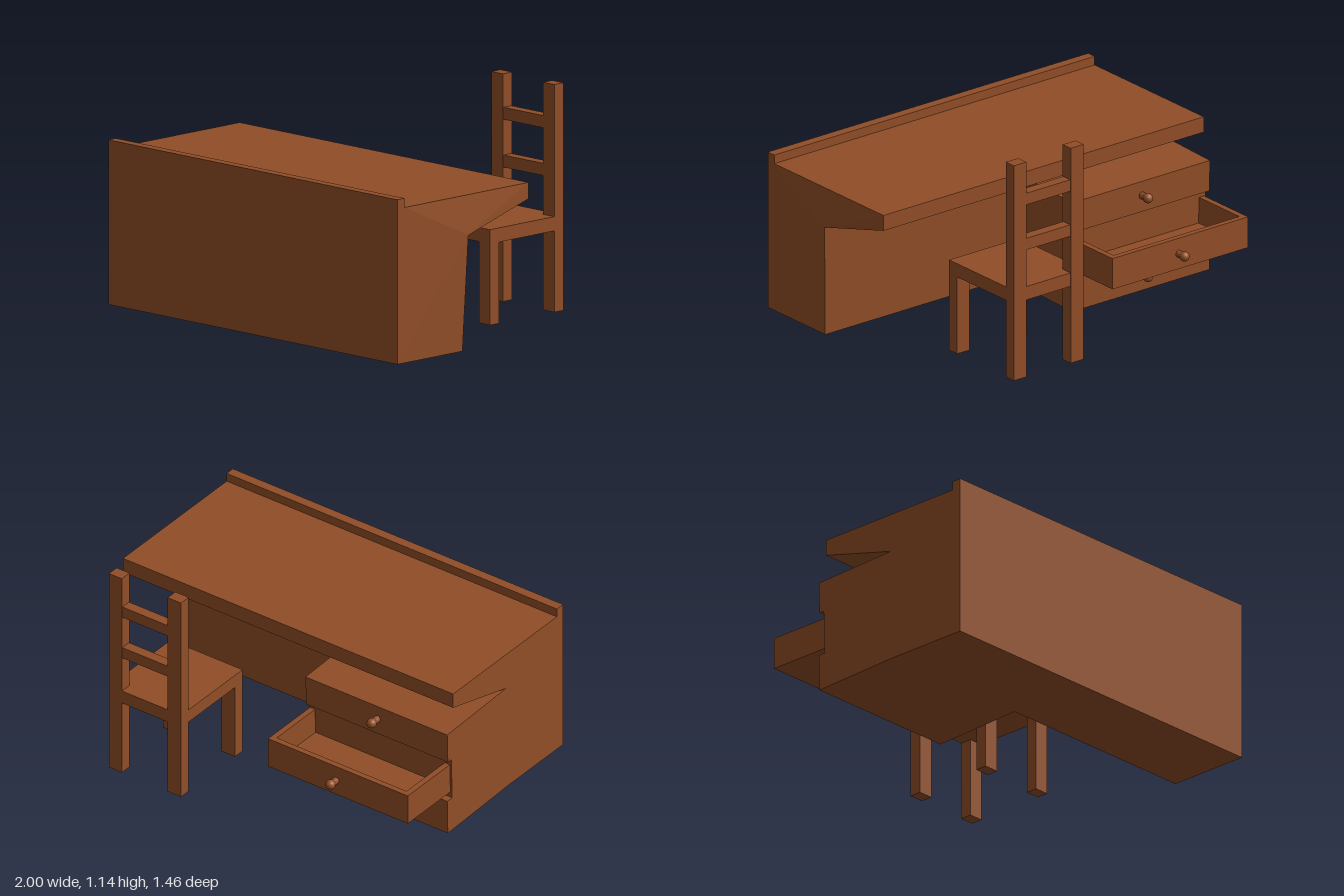
import * as THREE from 'three';

const wood = new THREE.MeshStandardMaterial({ color: 0x914e27, flatShading: true });
const smoothWood = new THREE.MeshStandardMaterial({ color: 0x914e27 });

// Box given by its extents on each axis
function box(name, [x0, x1], [y0, y1], [z0, z1]) {
  const mesh = new THREE.Mesh(new THREE.BoxGeometry(x1 - x0, y1 - y0, z1 - z0), wood);
  mesh.position.set((x0 + x1) / 2, (y0 + y1) / 2, (z0 + z1) / 2);
  mesh.name = name;
  return mesh;
}

// Side profile of [z, y] points swept along x
function sweep(name, profile, x0, x1) {
  const shape = new THREE.Shape(profile.map(([z, y]) => new THREE.Vector2(-z, y)));
  const geo = new THREE.ExtrudeGeometry(shape, { depth: x1 - x0, bevelEnabled: false });
  geo.rotateY(Math.PI / 2).translate(x0, 0, 0);
  const mesh = new THREE.Mesh(geo, wood);
  mesh.name = name;
  return mesh;
}

// Round knob on a short stem, pointing to -z
function knob(name, x, y, z) {
  const g = new THREE.Group();
  const stem = new THREE.Mesh(new THREE.CylinderGeometry(0.018, 0.018, 0.05, 16), smoothWood);
  stem.rotation.x = Math.PI / 2;
  stem.position.z = -0.02;
  const ball = new THREE.Mesh(new THREE.SphereGeometry(0.025, 20, 14), smoothWood);
  ball.position.z = -0.05;
  g.add(stem, ball);
  g.position.set(x, y, z);
  g.name = name;
  return g;
}

function createDesk() {
  const desk = new THREE.Group();
  desk.name = 'desk';

  // Body with raised lip and overhanging, tapered top
  const body = sweep('deskBody', [
    [0.73, 0.02], [0.29, 0.02], [0.27, 0.59], [-0.157, 0.705],
    [-0.157, 0.785], [0.68, 0.785], [0.68, 0.83], [0.73, 0.83],
  ], -1, 0.98);
  // The inner corner of the left end bulges out slightly
  const pos = body.geometry.attributes.position;
  for (let i = 0; i < pos.count; i++) {
    if (pos.getX(i) > 0.9 && Math.abs(pos.getY(i) - 0.59) < 0.01) pos.setX(i, 1);
  }
  body.geometry.computeVertexNormals();
  desk.add(body);

  // Pedestal with closed upper and lower drawers standing proud
  desk.add(sweep('pedestal', [
    [0.29, 0.02], [-0.2, 0.003], [-0.205, 0.19], [-0.165, 0.19],
    [-0.172, 0.413], [-0.2, 0.413], [-0.205, 0.573], [0.27, 0.59],
  ], -1, -0.15));
  desk.add(knob('upperKnob', -0.58, 0.5, -0.2));
  desk.add(knob('lowerKnob', -0.58, 0.09, -0.2));

  // Middle drawer, pulled out
  const drawer = new THREE.Group();
  drawer.name = 'openDrawer';
  const x = [-0.99, -0.152], y = [0.22, 0.38], t = 0.03;
  drawer.add(
    box('drawerFloor', x, [0.22, 0.245], [-0.51, -0.16]),
    box('drawerFront', x, y, [-0.51, -0.51 + t]),
    box('drawerSideRight', [x[0], x[0] + t], y, [-0.51 + t, -0.16]),
    box('drawerSideLeft', [x[1] - t, x[1]], y, [-0.51 + t, -0.16]),
    knob('drawerKnob', -0.56, 0.3, -0.505),
  );
  desk.add(drawer);
  return desk;
}

function createChair() {
  const chair = new THREE.Group();
  chair.name = 'chair';
  chair.add(box('seat', [0.205, 0.637], [0.42, 0.49], [-0.73, -0.235]));
  for (const [side, x] of [['Right', [0.205, 0.285]], ['Left', [0.56, 0.637]]]) {
    chair.add(box('backPost' + side, x, [0.02, 1.14], [-0.732, -0.67]));
    chair.add(box('frontLeg' + side, x, [0.02, 0.43], [-0.297, -0.235]));
  }
  // Back slats
  for (const y of [0.68, 0.915]) {
    chair.add(box('backSlat', [0.28, 0.565], [y, y + 0.06], [-0.728, -0.674]));
  }
  return chair;
}

export function createModel() {
  const model = new THREE.Group();
  model.name = 'deskAndChair';
  model.add(createDesk(), createChair());
  return model;
}
